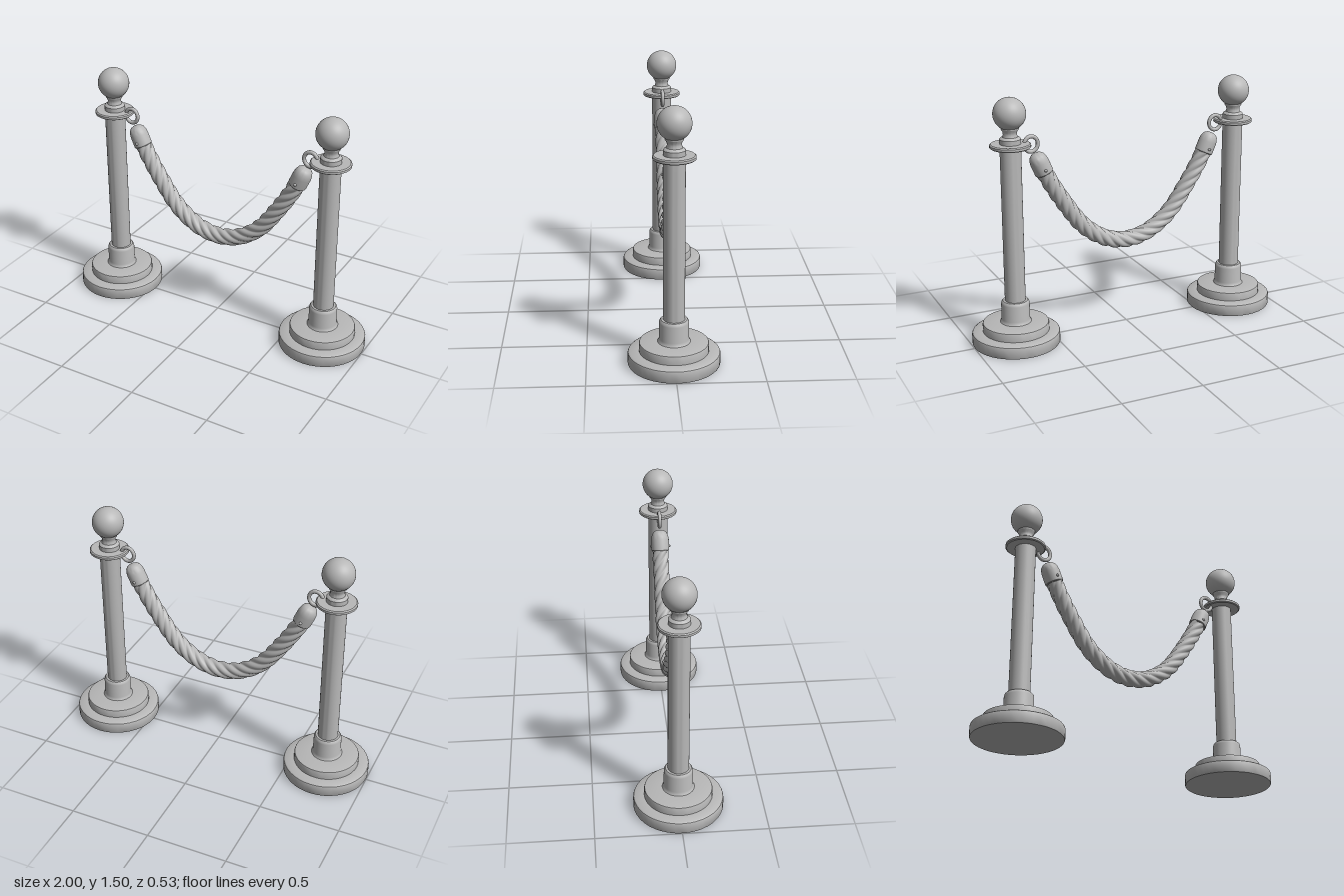
import * as THREE from 'three';
import { mergeVertices, toCreasedNormals } from 'three/addons/utils/BufferGeometryUtils.js';

const metal = new THREE.MeshStandardMaterial({ color: 0xb8b8b8 });
metal.name = 'plain grey';

function part(name, geometry, parent) {
  const mesh = new THREE.Mesh(geometry, metal);
  mesh.name = name;
  parent.add(mesh);
  return mesh;
}

// Turned part from [radius, height] pairs, with crisp edges kept
function turned(points, segments = 40) {
  const profile = points.map(([r, y]) => new THREE.Vector2(r, y));
  return toCreasedNormals(new THREE.LatheGeometry(profile, segments), 0.6);
}

function buildPost() {
  const post = new THREE.Group();
  part('base', turned([
    [0, 0], [0.262, 0], [0.265, 0.006], [0.265, 0.062], [0.262, 0.07], [0.253, 0.076],
    [0.2, 0.078], [0.2, 0.122], [0.197, 0.129], [0.188, 0.132], [0.095, 0.134], [0, 0.134],
  ]), post);
  part('collar', turned([
    [0.098, 0.13], [0.09, 0.139], [0.086, 0.155], [0.085, 0.25], [0.082, 0.262], [0.075, 0.27], [0, 0.272],
  ]), post);
  part('pole', turned([[0.062, 0.25], [0.062, 1.21]]), post);
  part('ringPlate', turned([
    [0, 1.209], [0.113, 1.209], [0.12, 1.214], [0.12, 1.228], [0.113, 1.234], [0, 1.234],
  ]), post);
  part('neck', turned([
    [0.062, 1.23], [0.062, 1.262], [0.056, 1.27], [0.045, 1.275], [0.04, 1.29],
    [0.042, 1.305], [0.052, 1.32], [0.052, 1.335],
  ]), post);
  part('ball', new THREE.SphereGeometry(0.096, 40, 28), post).position.y = 1.409;
  return post;
}

// End fitting on the +x side: ring, domed cap and rivets
function buildFitting() {
  const fitting = new THREE.Group();
  const ring = part('ring', new THREE.TorusGeometry(0.042, 0.0115, 12, 32), fitting);
  ring.position.set(0.609, 1.217, 0);
  ring.scale.y = 1.08;

  const cap = new THREE.Group();
  cap.name = 'ropeCap';
  part('capShell', turned([
    [0, -0.002], [0.052, -0.002], [0.056, 0.003], [0.056, 0.07], [0.053, 0.09],
    [0.046, 0.11], [0.034, 0.123], [0.018, 0.13], [0, 0.131],
  ], 32), cap);
  for (const side of [-1, 1]) {
    const rivet = part('rivet', new THREE.SphereGeometry(0.009, 12, 8), cap);
    rivet.position.set(0, 0.028, side * 0.056);
  }
  cap.position.set(0.531, 1.037, 0);
  cap.rotation.z = -0.42;
  fitting.add(cap);
  return fitting;
}

// Hanging rope: a tube whose radius swells along twisting strands
function buildRope() {
  const half = [[0.538, 1.06], [0.515, 1.01], [0.417, 0.848], [0.283, 0.67], [0.139, 0.572]];
  const points = [
    ...half.map(([x, y]) => new THREE.Vector3(-x, y, 0)),
    new THREE.Vector3(0, 0.543, 0),
    ...half.slice().reverse().map(([x, y]) => new THREE.Vector3(x, y, 0)),
  ];
  const curve = new THREE.CatmullRomCurve3(points);
  const rows = 220, sides = 50, strands = 5, turns = 4;
  const geometry = new THREE.TubeGeometry(curve, rows, 1, sides);
  const position = geometry.attributes.position;
  const vertex = new THREE.Vector3();
  for (let i = 0; i <= rows; i++) {
    const center = curve.getPointAt(i / rows);
    for (let j = 0; j <= sides; j++) {
      const k = i * (sides + 1) + j;
      const angle = (j / sides) * Math.PI * 2 + (i / rows) * turns * Math.PI * 2;
      const radius = 0.042 + 0.01 * Math.abs(Math.sin(angle * strands / 2));
      vertex.fromBufferAttribute(position, k).sub(center).setLength(radius).add(center);
      position.setXYZ(k, vertex.x, vertex.y, vertex.z);
    }
  }
  geometry.deleteAttribute('uv');
  geometry.deleteAttribute('normal');
  const welded = mergeVertices(geometry, 1e-5);
  welded.computeVertexNormals();
  return welded;
}

export function createModel() {
  const model = new THREE.Group();
  model.name = 'ropeBarrier';
  for (const [side, label] of [[1, 'left'], [-1, 'right']]) {
    const post = buildPost();
    post.name = label + 'Post';
    post.position.x = side * 0.735;
    model.add(post);

    const fitting = buildFitting();
    fitting.name = label + 'Fitting';
    if (side < 0) fitting.rotation.y = Math.PI;
    model.add(fitting);
  }
  part('rope', buildRope(), model);
  return model;
}
